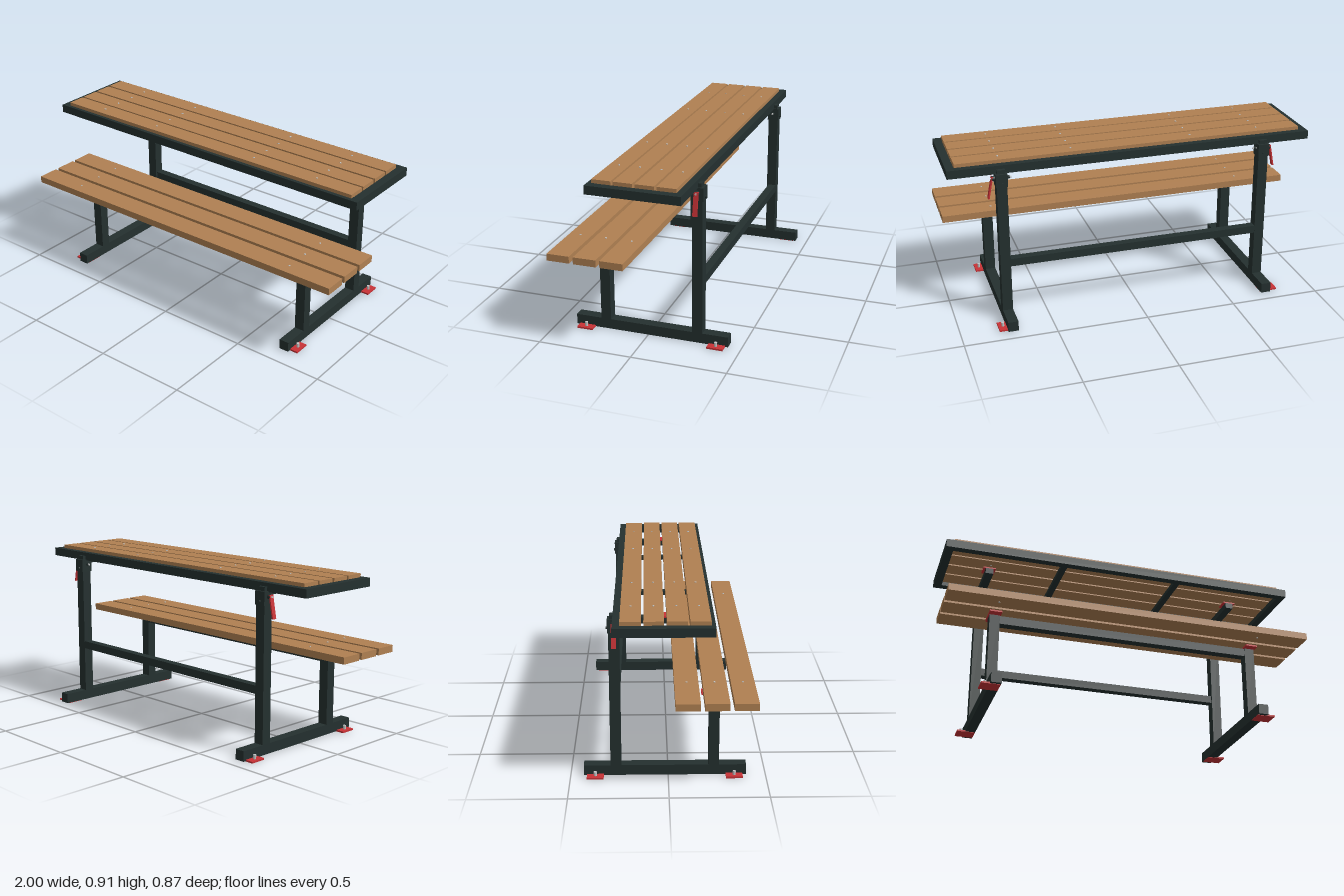
import * as THREE from 'three';

const mat = (name, color) => {
  const m = new THREE.MeshStandardMaterial({ color });
  m.name = name;
  return m;
};

export function createModel() {
  const model = new THREE.Group();
  model.name = 'tableWithBench';
  const steel = mat('dark green steel', 0x24302f);
  const wood = mat('brown wood', 0xb08052);
  const red = mat('red paint', 0xc93236);
  const silver = mat('silver metal', 0xc2c4c4);

  // Box given by its extents on each axis
  const box = (name, m, [x0, x1], [y0, y1], [z0, z1], parent = model) => {
    const mesh = new THREE.Mesh(new THREE.BoxGeometry(x1 - x0, y1 - y0, z1 - z0), m);
    mesh.position.set((x0 + x1) / 2, (y0 + y1) / 2, (z0 + z1) / 2);
    mesh.name = name;
    parent.add(mesh);
    return mesh;
  };
  // Cylinder along y, x or z
  const rod = (name, m, r, len, [x, y, z], axis = 'y', sides = 16) => {
    const mesh = new THREE.Mesh(new THREE.CylinderGeometry(r, r, len, sides), m);
    if (axis === 'x') mesh.rotation.z = Math.PI / 2;
    if (axis === 'z') mesh.rotation.x = Math.PI / 2;
    mesh.position.set(x, y, z);
    mesh.name = name;
    model.add(mesh);
    return mesh;
  };

  const legX = 0.725, half = 0.0275;

  // Table top slats with screws
  for (const [z0, z1] of [[0.1, 0.2], [-0.01, 0.089], [-0.121, -0.023], [-0.234, -0.133]]) {
    box('tableSlat', wood, [-0.955, 0.955], [0.863, 0.904], [z0, z1]);
    for (const x of [-0.722, -0.333, 0.333, 0.722])
      rod('tableScrew', silver, 0.005, 0.045, [x, 0.8845, (z0 + z1) / 2], 'y', 10);
  }
  // Table frame
  box('tableFrontRail', steel, [-1, 1], [0.84, 0.885], [0.178, 0.22]);
  box('tableBackRail', steel, [-1, 1], [0.84, 0.885], [-0.27, -0.228]);
  for (const s of [-1, 1]) {
    box('tableEndRail', steel, s < 0 ? [-1, -0.957] : [0.957, 1], [0.84, 0.885], [-0.23, 0.18]);
    box('tableStrut', steel, [s * 0.333 - 0.017, s * 0.333 + 0.017], [0.842, 0.863], [-0.23, 0.18]);
  }

  // Bench slats with screws
  for (const [z0, z1] of [[0.314, 0.434], [0.172, 0.293], [0.03, 0.152]]) {
    box('benchSlat', wood, [-1, 1], [0.465, 0.502], [z0, z1]);
    for (const x of [-legX, legX])
      rod('benchScrew', silver, 0.005, 0.043, [x, 0.4835, (z0 + z1) / 2], 'y', 10);
  }

  // Long tie bars between the two sides
  box('benchTieBar', steel, [-0.7, 0.7], [0.4, 0.445], [0.208, 0.256]);
  box('backTieBar', steel, [-0.7, 0.7], [0.315, 0.358], [-0.294, -0.25]);

  // Mirrored side supports
  for (const s of [-1, 1]) {
    const cx = s * legX;
    const span = (a, b) => (s > 0 ? [a, b] : [-b, -a]);
    const w = [cx - half, cx + half];

    box('footBeam', steel, w, [0.002, 0.057], [-0.432, 0.4]);
    box('benchLeg', steel, w, [0.057, 0.446], [0.206, 0.26]);
    box('backLeg', steel, w, [0.057, 0.79], [-0.295, -0.24]);
    box('benchPlate', red, span(0.692, 0.758), [0.446, 0.455], [0.166, 0.3]);

    // Floor plates with anchor bolts
    for (const z of [0.338, -0.373]) {
      box('floorPlate', red, span(0.698, 0.797), [0, 0.009], [z - 0.043, z + 0.043]);
      rod('anchorBolt', silver, 0.008, 0.022, [s * 0.772, 0.02, z]);
    }

    // Folding arm under the table top
    box('tableArm', steel, [cx - 0.022, cx + 0.022], [0.823, 0.855], [-0.27, 0.02]);
    box('tableArmEnd', steel, [cx - 0.022, cx + 0.022], [0.823, 0.866], [-0.288, -0.255]);
    box('armPlate', red, span(0.69, 0.76), [0.855, 0.862], [-0.05, 0.02]);

    // Hinge bracket with pivot pins
    box('hingeBracket', steel, [cx - 0.031, cx + 0.031], [0.775, 0.845], [-0.3, -0.235]);
    rod('bracketBolt', steel, 0.007, 0.078, [cx, 0.794, -0.268], 'z', 12);
    rod('pivotPin', silver, 0.005, 0.11, [s * 0.725, 0.818, -0.268], 'x', 12);
    rod('pivotNut', steel, 0.009, 0.01, [s * 0.684, 0.818, -0.268], 'x', 6);

    // Clamp lever, leaning outward toward its lower end
    const lever = box('clampLever', red, [-0.004, 0.004], [-0.061, 0.061], [-0.012, 0.012]);
    lever.position.set(s * 0.782, 0.769, -0.268);
    lever.rotation.z = s * 0.19;
    rod('leverHub', steel, 0.013, 0.02, [s * 0.764, 0.818, -0.268], 'x');
  }
  return model;
}
